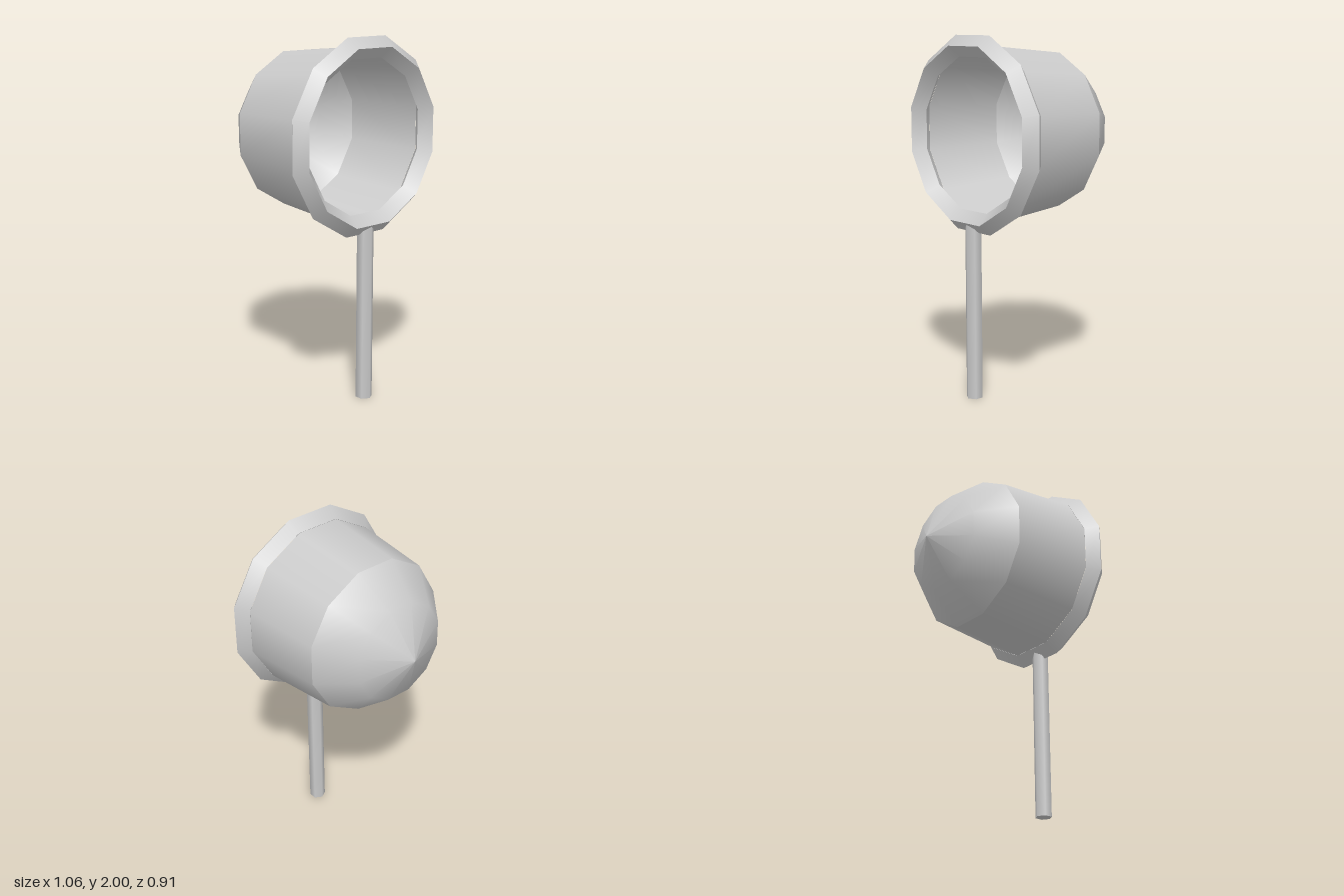
import * as THREE from 'three';

const SIDES = 12;
const CENTRE_Y = 1.47;
const material = new THREE.MeshStandardMaterial({ color: 0xcccccc });
const shellMaterial = new THREE.MeshStandardMaterial({ color: 0xcccccc, side: THREE.DoubleSide });

// Twelve-sided surface of revolution about z, flat side up.
// Profile points are [distance to the flat side, z].
function turned(name, profile, mat) {
  const points = profile.map(([r, z]) => new THREE.Vector2(r / Math.cos(Math.PI / SIDES), z));
  const geometry = new THREE.LatheGeometry(points, SIDES, Math.PI / SIDES);
  geometry.rotateX(Math.PI / 2);
  const mesh = new THREE.Mesh(geometry, mat);
  mesh.name = name;
  return mesh;
}

export function createModel() {
  const model = new THREE.Group();
  model.name = 'cupOnStem';

  const cup = new THREE.Group();
  cup.name = 'cup';
  cup.position.y = CENTRE_Y;
  model.add(cup);

  // Thin open shell: rounded back and tapering wall, with a crease between
  cup.add(turned('dome', [[0, -0.455], [0.275, -0.337], [0.43, -0.137]], shellMaterial));
  cup.add(turned('wall', [[0.43, -0.137], [0.472, 0.328]], shellMaterial));

  // Diamond-section rim, one band per face so its edges stay sharp
  const rim = new THREE.Group();
  rim.name = 'rim';
  const section = [[0.473, 0.328], [0.53, 0.391], [0.473, 0.455], [0.415, 0.391]];
  section.forEach((p, i) => {
    rim.add(turned('rimBand' + (i + 1), [p, section[(i + 1) % section.length]], material));
  });
  cup.add(rim);

  // Six-sided stem ending inside the rim
  const stemHeight = 0.99;
  const stem = new THREE.Mesh(new THREE.CylinderGeometry(0.047, 0.047, stemHeight, 6), material);
  stem.name = 'stem';
  stem.position.set(0, stemHeight / 2, 0.394);
  model.add(stem);

  return model;
}
